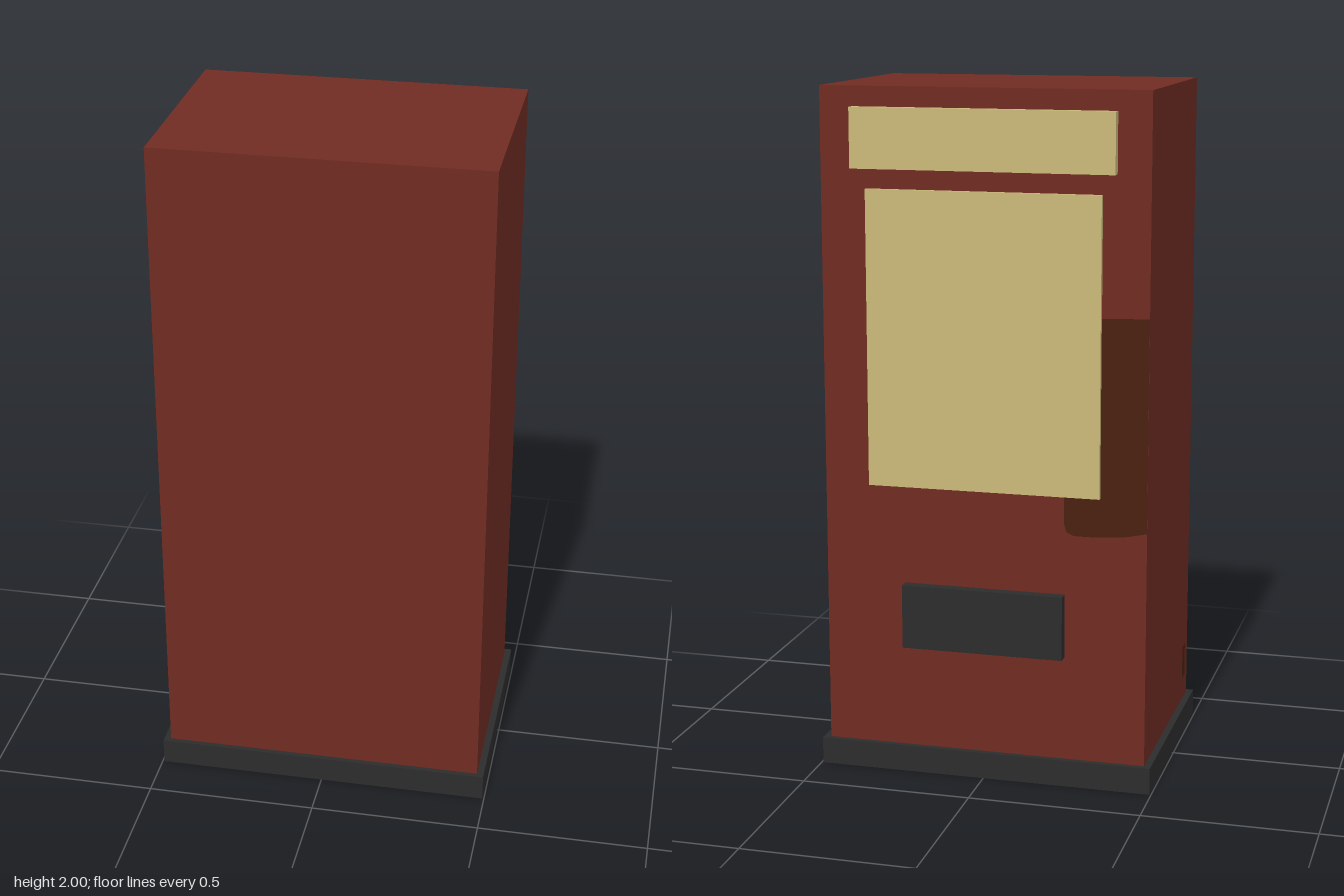
import * as THREE from 'three';

const material = (name, color, side = THREE.FrontSide) => {
  const m = new THREE.MeshStandardMaterial({ color, side });
  m.name = name;
  return m;
};

export function createModel() {
  const red = material('dark red', 0x702c23);
  const charcoal = material('charcoal', 0x2c2c2c);
  const cream = material('cream', 0xcbb878);
  const brown = material('stain brown', 0x4a2110, THREE.DoubleSide);

  const group = new THREE.Group();
  group.name = 'vendingMachine';

  // Box given by its limits on each axis
  const box = (name, mat, [x0, x1], [y0, y1], [z0, z1]) => {
    const mesh = new THREE.Mesh(new THREE.BoxGeometry(x1 - x0, y1 - y0, z1 - z0), mat);
    mesh.position.set((x0 + x1) / 2, (y0 + y1) / 2, (z0 + z1) / 2);
    mesh.name = name;
    group.add(mesh);
  };

  const back = -0.327;

  // Cabinet on its plinth
  box('plinth', charcoal, [-0.495, 0.495], [0, 0.078], [-0.345, 0.358]);
  box('cabinet', red, [-0.475, 0.475], [0.078, 2], [back, 0.342]);

  // Fittings on the back face
  box('headerSign', cream, [-0.38, 0.38], [1.772, 1.943], [-0.355, back]);
  box('displayPanel', cream, [-0.34, 0.34], [0.862, 1.715], [-0.342, back]);
  box('deliveryTray', charcoal, [-0.238, 0.238], [0.385, 0.573], [-0.36, back]);

  // Stain behind the display panel, running out to the cabinet edge
  const outline = [
    [-0.475, 0.768], [-0.41, 0.754], [-0.33, 0.748], [-0.265, 0.748],
    [-0.242, 0.758], [-0.235, 0.785], [-0.235, 1.35], [-0.25, 1.37], [-0.475, 1.378],
  ].map(([x, y]) => new THREE.Vector2(-x, y));
  const stain = new THREE.Mesh(new THREE.ShapeGeometry(new THREE.Shape(outline)), brown);
  stain.name = 'backStain';
  stain.rotation.y = Math.PI;
  stain.position.z = back - 0.002;
  group.add(stain);

  // Small mark low on the side
  const mark = new THREE.Mesh(new THREE.PlaneGeometry(0.04, 0.1), brown);
  mark.name = 'sideMark';
  mark.rotation.y = -Math.PI / 2;
  mark.position.set(-0.477, 0.2, 0.275);
  group.add(mark);

  return group;
}
